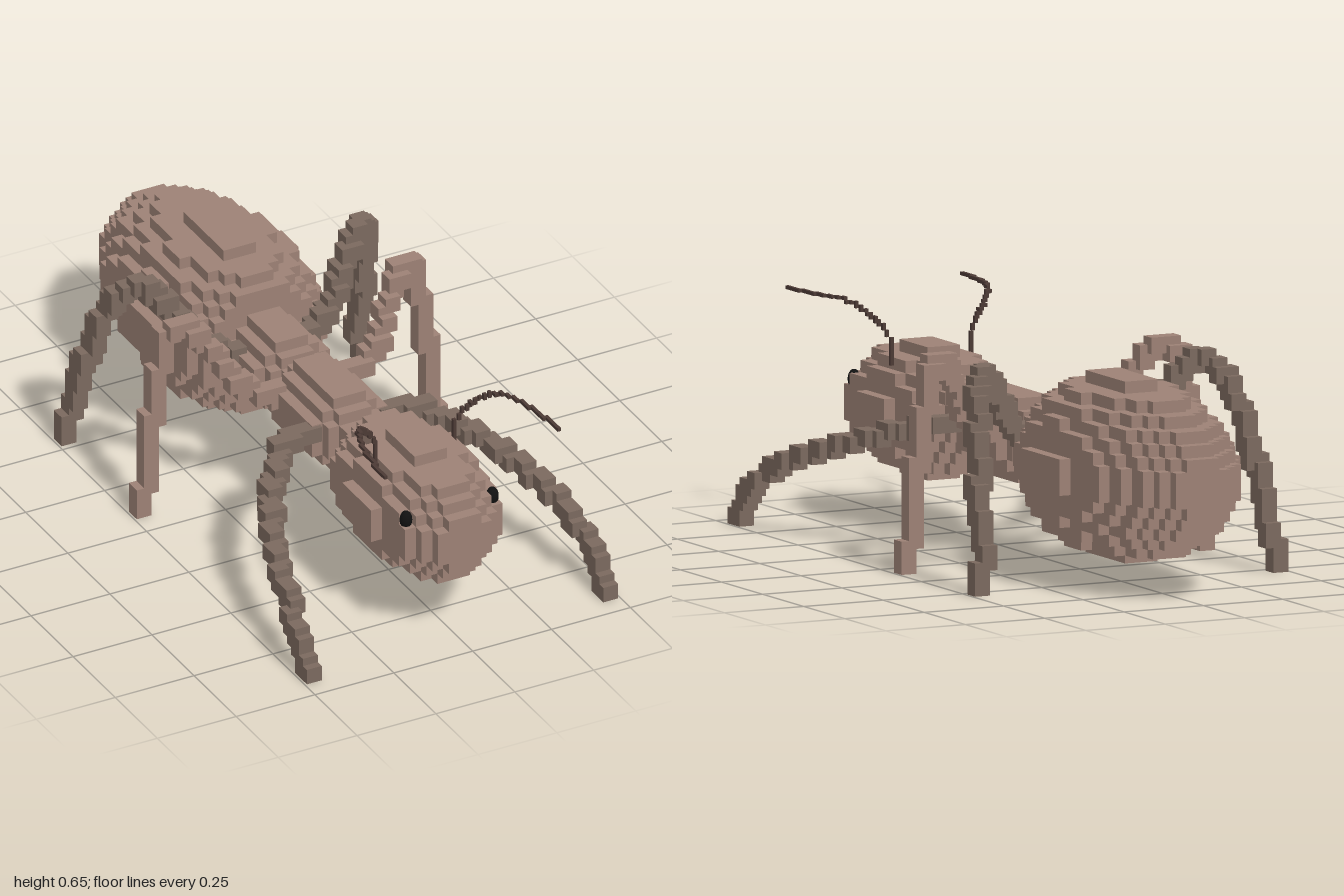
import * as THREE from 'three';

const BODY = new THREE.MeshStandardMaterial({ color: 0x9c8175 });
const LEG = new THREE.MeshStandardMaterial({ color: 0x7b695e });
const FEELER = new THREE.MeshStandardMaterial({ color: 0x4c3a35 });
const EYE = new THREE.MeshStandardMaterial({ color: 0x111111 });

const CELL = 2 / 58.3;   // body voxel
const LEG_CELL = 0.0235; // legs are two of these thick
const MID_Y = 0.328;

// Outer skin of a set of cubes: only faces without a neighbour are built.
function voxelMesh(name, cells, size, origin, material) {
  const filled = new Set(cells.map((c) => c.join()));
  const positions = [], normals = [];
  for (const key of filled) {
    const c = key.split(',').map(Number);
    for (let axis = 0; axis < 3; axis++) {
      for (const side of [1, -1]) {
        const next = [...c];
        next[axis] += side;
        if (filled.has(next.join())) continue;
        const quad = [[0, 0], [1, 0], [1, 1], [0, 1]];
        if (side < 0) quad.reverse();
        for (const i of [0, 1, 2, 0, 2, 3]) {
          const p = [...c], n = [0, 0, 0];
          p[axis] += side > 0 ? 1 : 0;
          p[(axis + 1) % 3] += quad[i][0];
          p[(axis + 2) % 3] += quad[i][1];
          n[axis] = side;
          positions.push(...p.map((v, k) => v * size + origin[k]));
          normals.push(...n);
        }
      }
    }
  }
  const geometry = new THREE.BufferGeometry();
  geometry.setAttribute('position', new THREE.Float32BufferAttribute(positions, 3));
  geometry.setAttribute('normal', new THREE.Float32BufferAttribute(normals, 3));
  const mesh = new THREE.Mesh(geometry, material);
  mesh.name = name;
  return mesh;
}

// Body segment: one disc of cubes per layer, radii in cells, from back to front.
function segment(name, firstLayer, radii) {
  const cells = [];
  radii.forEach((r, k) => {
    const n = Math.floor(r);
    for (let x = -n; x <= n; x++)
      for (let y = -n; y <= n; y++)
        if (x * x + y * y <= r * r) cells.push([x, y, firstLayer + k]);
  });
  return voxelMesh(name, cells, CELL, [-CELL / 2, MID_Y - CELL / 2, -1], BODY);
}

// Limb: a cubic brush dragged along a curve, mirrored by the sign of side.
function limb(name, points, size, brush, side, material) {
  const curve = new THREE.CatmullRomCurve3(points.map((p) => new THREE.Vector3(...p)));
  const steps = Math.ceil(curve.getLength() / size * 1.5);
  const cells = [];
  for (const p of curve.getSpacedPoints(steps)) {
    const base = p.toArray().map((v) => Math.round(v / size - brush / 2));
    base[1] = Math.max(0, base[1]);
    for (let i = 0; i < brush; i++)
      for (let j = 0; j < brush; j++)
        for (let k = 0; k < brush; k++) {
          const x = base[0] + i;
          cells.push([side > 0 ? x : -1 - x, base[1] + j, base[2] + k]);
        }
  }
  return voxelMesh(name, cells, size, [0, 0, 0], material);
}

const FRONT_LEG = [[.11, .345, .25], [.21, .345, .28], [.29, .32, .37], [.36, .28, .48], [.42, .23, .62],
  [.45, .19, .72], [.46, .13, .82], [.46, .07, .875], [.46, .02, .91]];
const MIDDLE_LEG = [[.11, .36, .045], [.2, .4, .03], [.27, .5, -.02], [.32, .56, -.05], [.355, .587, -.07],
  [.39, .55, -.09], [.41, .46, -.1], [.435, .3, -.1], [.455, .15, -.095], [.46, .02, -.085]];
const BACK_LEG = [[.11, .36, -.19], [.21, .42, -.23], [.28, .52, -.28], [.345, .587, -.32], [.385, .55, -.37],
  [.41, .46, -.42], [.435, .3, -.475], [.455, .15, -.525], [.46, .02, -.55]];
const ANTENNA = [[.118, .44, .655], [.13, .54, .66], [.16, .585, .675], [.205, .63, .715],
  [.24, .645, .78], [.265, .648, .88], [.275, .648, .995]];

export function createModel() {
  const ant = new THREE.Group();
  ant.name = 'ant';

  // Body from tail to head
  ant.add(
    segment('abdomen', 0, [2.3, 3.3, 4.2, 4.6, 5.2, 5.7, 6.1, 6.35, 6.55, 6.75, 6.95,
      7.1, 7.2, 7.25, 7.25, 7.25, 7.2, 7.1, 6.9, 6.6, 6.2, 5.5]),
    segment('rearWaist', 22, [3.2, 3.3, 3.3, 3.3, 3.2, 2.3]),
    segment('waistLink', 28, [1.5]),
    segment('thorax', 29, [2.3, 3.2, 3.3, 3.3, 3.3, 3.3, 3.3, 3.2, 2.3]),
    segment('neck', 38, [1.5, 1.5]),
    segment('head', 40, [2.3, 3.3, 4.2, 4.5, 4.7, 4.9, 5.15, 5.2, 5.25, 5.2, 5.15,
      4.9, 4.7, 4.5, 4.2, 3.5, 2.4]),
  );

  // Paired parts
  for (const side of [1, -1]) {
    const label = side > 0 ? 'left' : 'right';
    ant.add(
      limb(label + 'FrontLeg', FRONT_LEG, LEG_CELL, 2, side, LEG),
      limb(label + 'MiddleLeg', MIDDLE_LEG, LEG_CELL, 2, side, BODY),
      limb(label + 'BackLeg', BACK_LEG, LEG_CELL, 2, side, LEG),
      limb(label + 'Antenna', ANTENNA, 0.01, 1, side, FEELER),
    );
    const eye = new THREE.Mesh(new THREE.SphereGeometry(1, 20, 14), EYE);
    eye.name = label + 'Eye';
    eye.scale.set(0.018, 0.028, 0.018);
    eye.position.set(side * 0.137, 0.395, 0.86);
    ant.add(eye);
  }
  return ant;
}
